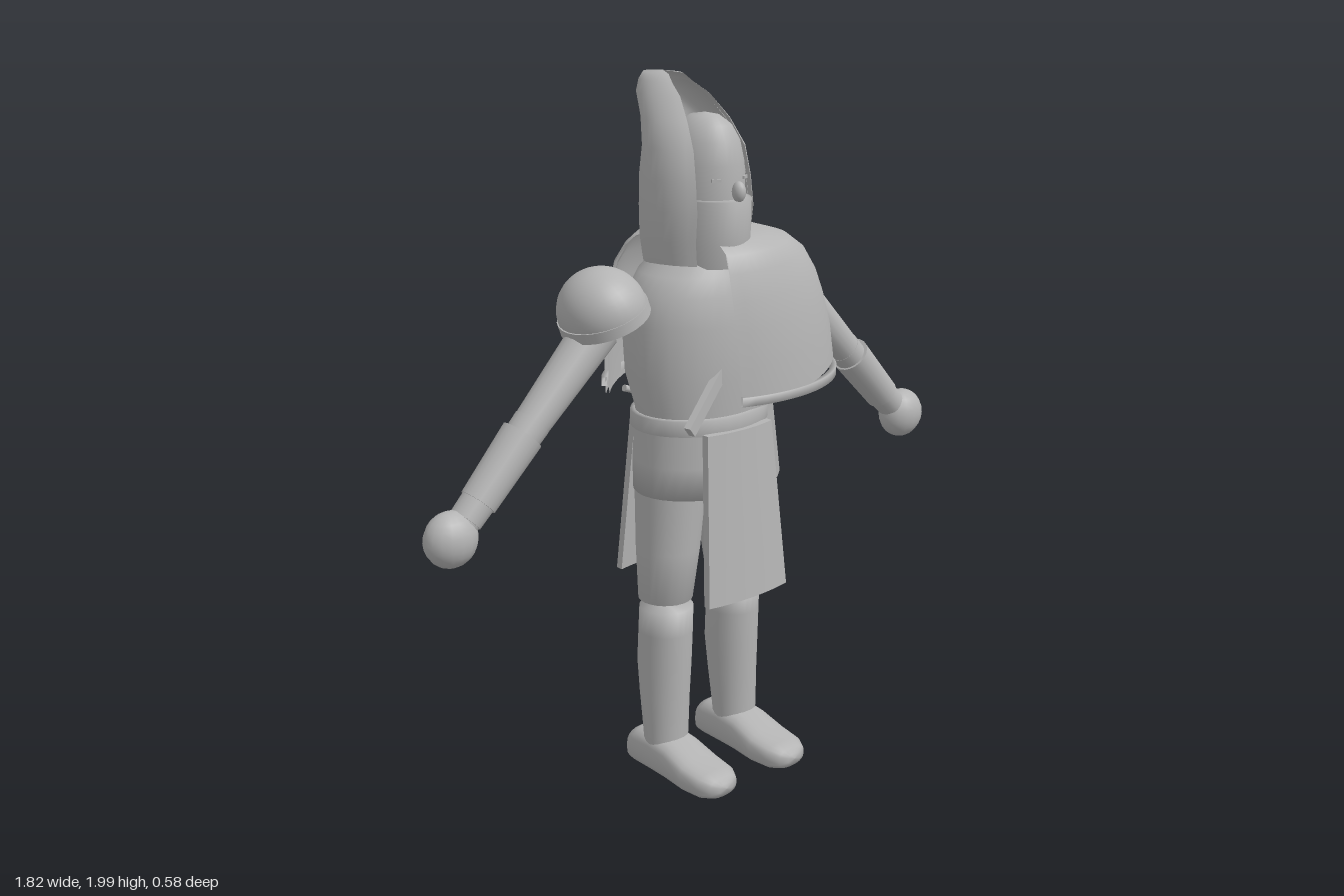
import * as THREE from 'three';

const stone = new THREE.MeshStandardMaterial({ color: 0xb4b4b4, side: THREE.DoubleSide });
stone.name = 'stone grey';

// Surface over a grid: u runs round, v runs upward
function grid(nu, nv, fn, closed = false) {
  const pos = [], index = [], cols = closed ? nu : nu + 1;
  for (let j = 0; j <= nv; j++)
    for (let i = 0; i < cols; i++) pos.push(...fn(i / nu, j));
  for (let j = 0; j < nv; j++)
    for (let i = 0; i < nu; i++) {
      const a = j * cols + i, b = j * cols + (i + 1) % cols;
      index.push(a, b, b + cols, a, b + cols, a + cols);
    }
  const g = new THREE.BufferGeometry();
  g.setAttribute('position', new THREE.Float32BufferAttribute(pos, 3));
  g.setIndex(index);
  g.computeVertexNormals();
  return g;
}

// Elliptical rows [y, cx, cz, rx, rz], swept from angle a0 to a1 (0 = front, 90 = left)
function loft(rows, a0 = 0, a1 = 360, n = 32, shiftY = () => 0) {
  return grid(n, rows.length - 1, (u, j) => {
    const a = THREE.MathUtils.degToRad(a0 + (a1 - a0) * u);
    const [y, cx, cz, rx, rz] = rows[j];
    const x = cx + rx * Math.sin(a), z = cz + rz * Math.cos(a);
    return [x, y + shiftY(x, j), z];
  }, a1 - a0 === 360);
}

export function createModel() {
  const model = new THREE.Group();
  model.name = 'hoodedFigure';

  const add = (name, geometry, parent = model) => {
    const m = new THREE.Mesh(geometry, stone);
    m.name = name;
    parent.add(m);
    return m;
  };
  // Tapered round bar from point a to point b
  const bar = (name, a, b, ra, rb, sides = 20) => {
    const p = new THREE.Vector3(...a), q = new THREE.Vector3(...b), d = q.clone().sub(p);
    const m = add(name, new THREE.CylinderGeometry(rb, ra, d.length(), sides));
    m.position.copy(p).add(q).multiplyScalar(0.5);
    m.quaternion.setFromUnitVectors(new THREE.Vector3(0, 1, 0), d.normalize());
    return m;
  };

  // Torso with short hip skirt
  add('torso', loft([
    [1.04, 0, 0.02, 0.195, 0.155], [1.1, 0, 0.02, 0.195, 0.155], [1.2, 0, 0.015, 0.22, 0.175],
    [1.35, 0, 0.01, 0.225, 0.18], [1.43, 0, 0.01, 0.205, 0.165], [1.48, 0, 0.01, 0.17, 0.15],
    [1.53, 0, 0.01, 0.11, 0.12], [1.57, 0, 0.01, 0.08, 0.09]]));
  add('hips', loft([
    [0.88, 0, 0.025, 0.001, 0.001], [0.87, 0, 0.025, 0.208, 0.162],
    [0.96, 0, 0.025, 0.208, 0.163], [1.06, 0, 0.025, 0.2, 0.16]]));
  add('belt', loft([
    [1.05, 0, 0.02, 0.196, 0.16], [1.052, 0, 0.02, 0.208, 0.168],
    [1.095, 0, 0.02, 0.208, 0.168], [1.098, 0, 0.02, 0.196, 0.155]]));

  // Head, face mask, nose and eye slits
  add('head', loft([
    [1.5, 0, 0.04, 0.098, 0.11], [1.68, 0, 0.04, 0.1, 0.118], [1.77, 0, 0.04, 0.098, 0.115],
    [1.83, 0, 0.04, 0.085, 0.103], [1.87, 0, 0.04, 0.063, 0.08], [1.893, 0, 0.04, 0.035, 0.045],
    [1.9, 0, 0.04, 0.001, 0.001]]));
  add('faceMask', loft([
    [1.5, 0, 0.05, 0.1, 0.115], [1.56, 0, 0.05, 0.104, 0.13],
    [1.68, 0, 0.05, 0.104, 0.135], [1.683, 0, 0.05, 0.096, 0.1]], -90, 90, 20));
  const nose = add('nose', new THREE.SphereGeometry(0.02, 14, 10));
  nose.scale.set(0.9, 1.4, 1);
  nose.position.set(0, 1.705, 0.175);
  for (const s of [1, -1]) {
    const eye = add('eyeSlit', new THREE.BoxGeometry(0.025, 0.008, 0.008));
    eye.position.set(s * 0.05, 1.735, 0.142);
    eye.rotation.y = s * 0.5;
  }

  // Pointed hood, open at the face and leaning back at its peak
  const hoodRows = [
    [1.5, 0, 0, 0.138, 0.145], [1.57, 0, 0, 0.15, 0.15], [1.65, 0, 0.005, 0.154, 0.155],
    [1.73, 0, 0, 0.15, 0.15], [1.81, 0, -0.005, 0.14, 0.135], [1.88, 0, -0.04, 0.115, 0.125],
    [1.94, 0, -0.09, 0.082, 0.12], [1.97, 0, -0.12, 0.056, 0.092], [1.99, 0, -0.13, 0.04, 0.07],
    [1.995, 0, -0.13, 0.001, 0.001]];
  add('hood', loft(hoodRows, 40, 320, 32));
  add('hoodLining', loft(hoodRows.slice(0, 8).map(([y, cx, cz, rx, rz]) =>
    [y, cx, cz, rx - 0.012, rz - 0.012]), 42, 318, 32));

  // Cape over the left shoulder, with a separate hem band
  const capeRows = [
    [1.14, 0.1, -0.005, 0.345, 0.285], [1.25, 0.09, -0.005, 0.34, 0.28], [1.35, 0.08, -0.005, 0.325, 0.268],
    [1.43, 0.07, -0.005, 0.31, 0.255], [1.5, 0.06, -0.005, 0.28, 0.235], [1.545, 0.045, 0, 0.235, 0.21],
    [1.57, 0.025, 0, 0.185, 0.175], [1.58, 0.01, 0, 0.13, 0.13]];
  const lift = [0.16, 0.13, 0.1, 0.06, 0.04, 0.03, 0.02, 0];
  add('cape', loft(capeRows, -25, 239, 44, (x, j) => lift[j] * x));
  add('capeLining', loft(capeRows.slice(0, 6).map(([y, cx, cz, rx, rz]) =>
    [y, cx, cz, rx - 0.01, rz - 0.01]), -25, 239, 44, (x, j) => lift[j] * x));
  add('capeHem', loft([
    [1.145, 0.1, -0.005, 0.345, 0.272], [1.145, 0.1, -0.005, 0.362, 0.287],
    [1.17, 0.1, -0.005, 0.362, 0.287], [1.17, 0.1, -0.005, 0.345, 0.272],
    [1.145, 0.1, -0.005, 0.345, 0.272]], -25, 239, 44));

  // Hanging cloth panels, wider and further out toward the bottom
  const panel = (name, zTop, zBottom) => {
    const g = new THREE.BoxGeometry(1, 0.48, 0.022, 8, 4, 1), p = g.attributes.position;
    for (let i = 0; i < p.count; i++) {
      const t = 0.5 - p.getY(i) / 0.48, x = p.getX(i);
      const bend = Math.sign(zTop) * -0.06 * x * x;
      p.setXYZ(i, x * (0.235 + 0.055 * t), p.getY(i) + 0.82, p.getZ(i) + zTop + (zBottom - zTop) * t + bend);
    }
    g.computeVertexNormals();
    add(name, g);
  };
  panel('frontPanel', 0.192, 0.232);
  panel('backPanel', -0.145, -0.182);

  // Hip pouch, slanted strap and the crossed rods at the back
  const pouchShape = new THREE.Shape([[0.195, 1.08], [0.25, 1.08], [0.262, 1.0], [0.285, 0.84],
    [0.275, 0.82], [0.235, 0.83], [0.22, 0.88], [0.2, 0.92]].map(([x, y]) => new THREE.Vector2(x, y)));
  add('hipPouch', new THREE.ExtrudeGeometry(pouchShape, { depth: 0.06, bevelEnabled: false }))
    .position.z = -0.01;
  const strap = add('chestStrap', new THREE.BoxGeometry(0.23, 0.035, 0.02));
  strap.position.set(-0.115, 1.17, 0.185);
  strap.rotation.set(0, 0.25, 0.72);
  bar('backHandle', [-0.01, 0.98, -0.16], [-0.01, 1.18, -0.165], 0.016, 0.018, 12);
  bar('backRod', [0.1, 1.04, -0.165], [-0.12, 1.12, -0.165], 0.01, 0.01, 10);
  bar('backRod', [-0.09, 1.03, -0.165], [0.05, 1.15, -0.165], 0.01, 0.01, 10);

  for (const s of [1, -1]) {
    const side = s > 0 ? 'left' : 'right';
    const mirror = rows => rows.map(([y, cx, ...r]) => [y, s * cx, ...r]);

    // Leg: thigh, then a shin set off by a narrow gap
    add(side + 'Thigh', loft(mirror([
      [0.55, 0.128, 0.02, 0.001, 0.001], [0.55, 0.128, 0.02, 0.077, 0.078],
      [0.7, 0.118, 0.02, 0.09, 0.092], [0.9, 0.107, 0.02, 0.1, 0.103]]), 0, 360, 24));
    add(side + 'Shin', loft(mirror([
      [0.09, 0.133, 0.025, 0.062, 0.062], [0.13, 0.133, 0.025, 0.066, 0.064],
      [0.25, 0.131, 0.018, 0.07, 0.075], [0.35, 0.129, 0.015, 0.074, 0.083],
      [0.45, 0.128, 0.02, 0.076, 0.08], [0.525, 0.128, 0.024, 0.077, 0.077],
      [0.527, 0.128, 0.024, 0.001, 0.001]]), 0, 360, 24));

    // Foot: rounded sections [z, half width, height] from heel to toe
    const sections = [[-0.107, 0.001, 0.001], [-0.103, 0.035, 0.06], [-0.085, 0.058, 0.1],
      [-0.05, 0.068, 0.122], [0.02, 0.07, 0.13], [0.09, 0.071, 0.122], [0.17, 0.075, 0.095],
      [0.24, 0.07, 0.08], [0.275, 0.05, 0.06], [0.287, 0.025, 0.03], [0.29, 0.001, 0.001]];
    add(side + 'Foot', grid(20, sections.length - 1, (u, j) => {
      const [z, w, h] = sections[j], a = u * Math.PI * 2, c = Math.cos(a), n = Math.sin(a);
      const mid = Math.max(h / 2, 0.045) + 0.006;
      return [s * 0.133 + w * Math.sign(c) * Math.abs(c) ** 0.8,
        mid + h / 2 * Math.sign(n) * Math.abs(n) ** 0.7, z];
    }, true));

    // Arm: upper arm, sleeve, bracer, hand
    const z = 0.018;
    bar(side + 'UpperArm', [s * 0.355, 1.365, z], [s * 0.6, 1.125, z], 0.062, 0.047);
    bar(side + 'Forearm', [s * 0.57, 1.155, z], [s * 0.8, 0.925, z], 0.05, 0.04);
    bar(side + 'Bracer', [s * 0.602, 1.127, z], [s * 0.745, 0.978, z], 0.057, 0.05);
    bar(side + 'Cuff', [s * 0.74, 0.985, z], [s * 0.785, 0.94, z], 0.046, 0.044);
    const hand = add(side + 'Hand', new THREE.SphereGeometry(0.075, 16, 12));
    hand.scale.set(1, 1, 0.8);
    hand.position.set(s * 0.833, 0.9, 0.02);
  }

  // Domed guard on the right shoulder
  const guard = new THREE.Group();
  guard.name = 'shoulderGuard';
  guard.position.set(-0.338, 1.412, 0.02);
  guard.rotation.z = 0.36;
  model.add(guard);
  const dome = add('guardDome', new THREE.SphereGeometry(0.117, 28, 12, 0, Math.PI * 2, 0, Math.PI / 2), guard);
  dome.scale.z = 1.08;
  const rim = add('guardRim', new THREE.CylinderGeometry(0.121, 0.121, 0.03, 28), guard);
  rim.scale.z = 1.06;
  rim.position.y = -0.014;

  return model;
}
